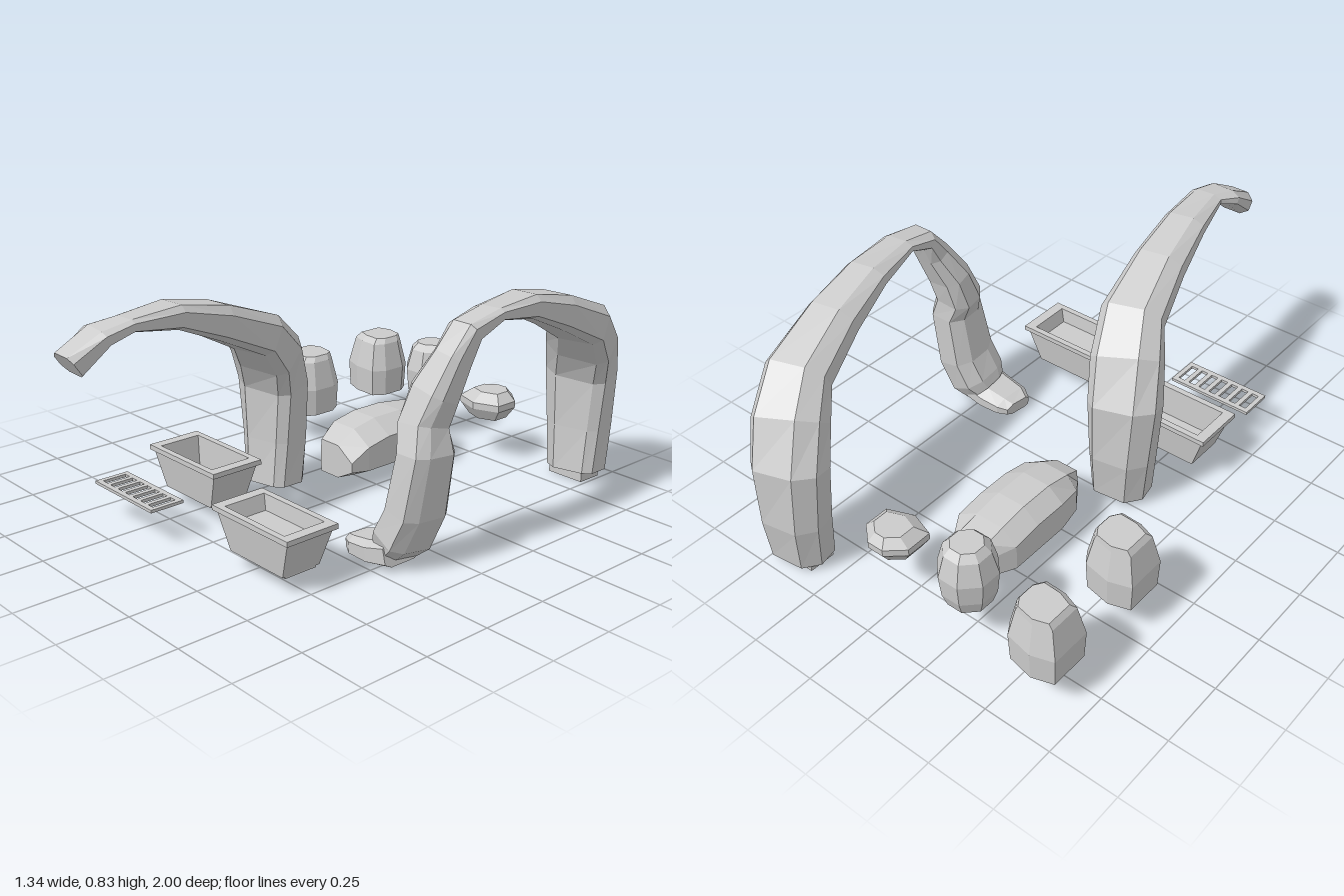
import * as THREE from 'three';

const V = (x, y, z) => new THREE.Vector3(x, y, z);
const material = new THREE.MeshStandardMaterial({ color: 0xcccccc, flatShading: true });

function mesh(geometry, name) {
  const m = new THREE.Mesh(geometry, material);
  m.name = name;
  return m;
}

// Skin rings that run counter-clockwise around the direction of travel, capped at both ends
function loft(rings, name) {
  const pos = [];
  const tri = (...pts) => pts.forEach((p) => pos.push(p.x, p.y, p.z));
  const n = rings[0].length;
  for (let i = 0; i < rings.length - 1; i++) {
    for (let j = 0; j < n; j++) {
      const k = (j + 1) % n, a = rings[i], b = rings[i + 1];
      tri(a[j], a[k], b[k]);
      tri(a[j], b[k], b[j]);
    }
  }
  const first = rings[0], last = rings[rings.length - 1];
  for (let j = 1; j < n - 1; j++) {
    tri(first[0], first[j + 1], first[j]);
    tri(last[0], last[j], last[j + 1]);
  }
  const g = new THREE.BufferGeometry();
  g.setAttribute('position', new THREE.Float32BufferAttribute(pos, 3));
  g.computeVertexNormals();
  return mesh(g, name);
}

// Faceted limb along stations [x, y, z, half width, half thickness, twist towards z]
const SECTION = [[1, 0.5], [0.7, 1], [-0.5, 1], [-1, 0.4], [-1, -0.5], [-0.5, -1], [0.7, -1], [1, -0.7]];
function limb(stations, side, name) {
  const c = stations.map(([x, y, z]) => V(x, y, z));
  const rings = stations.map(([, , , w, t, twist = 0], i) => {
    const T = c[Math.min(i + 1, c.length - 1)].clone().sub(c[Math.max(i - 1, 0)]).normalize();
    const S = side.clone().add(V(0, 0, twist));
    S.addScaledVector(T, -S.dot(T)).normalize();
    const N = T.clone().cross(S);
    return SECTION.map(([u, v]) => c[i].clone().addScaledVector(S, u * w).addScaledVector(N, v * t));
  });
  return loft(rings, name);
}

// Rock with a given outline; levels are [y, scale, z shift]
function rock(x, z, outline, levels, name) {
  return loft(levels.map(([y, s, dz = 0]) =>
    outline.map(([u, v]) => V(x + u * s, y, z + v * s + dz)).reverse()), name);
}

// Open tapered tray with a projecting rim
function tray(x, z, floorY, name) {
  const levels = [
    [0.13, 0.075, 0.055], [0.175, 0.092, 0.187], [0.187, 0.103, 0.187],
    [0.187, 0.103, 0.205], [0.148, 0.08, 0.205], [0.135, 0.075, floorY],
  ];
  return loft(levels.map(([w, d, y]) =>
    [V(x + w, y, z + d), V(x + w, y, z - d), V(x - w, y, z - d), V(x - w, y, z + d)]), name);
}

// Flat ladder: two rails and evenly spaced rungs
function ladder(x, y, z, length, width, name) {
  const g = new THREE.Group();
  const bar = (w, d, px, pz, part) => {
    const b = mesh(new THREE.BoxGeometry(w, 0.011, d), part);
    b.position.set(px, 0, pz);
    g.add(b);
  };
  for (const s of [-1, 1]) bar(length, 0.02, 0, s * (width / 2 - 0.01), 'rail');
  const count = 8, step = (length - 0.018) / (count - 1);
  for (let i = 0; i < count; i++) bar(0.018, width - 0.04, (i - (count - 1) / 2) * step, 0, 'rung');
  g.position.set(x, y, z);
  g.name = name;
  return g;
}

export function createModel() {
  const model = new THREE.Group();
  model.name = 'rockArchScene';
  const X = V(1, 0, 0), Z = V(0, 0, 1);

  // Thick, twisted rear leg curving up into a narrowing span, shared by both arches
  const span = [
    [0.415, 0.03, -0.885, 0.1, 0.08, -0.15],
    [0.405, 0.2, -0.9, 0.11, 0.087, -0.2],
    [0.405, 0.41, -0.895, 0.122, 0.088, -0.25],
    [0.445, 0.54, -0.835, 0.12, 0.088, -0.3],
    [0.5, 0.64, -0.735, 0.108, 0.073, -0.25],
    [0.54, 0.73, -0.53, 0.09, 0.06, -0.1],
    [0.57, 0.79, -0.34, 0.075, 0.04],
    [0.605, 0.803, -0.15, 0.06, 0.02],
  ];

  // Complete arch with a slender front leg and a sideways foot
  const arch = new THREE.Group();
  arch.name = 'completeArch';
  arch.add(limb([...span,
    [0.61, 0.77, -0.035, 0.06, 0.035],
    [0.605, 0.69, 0.015, 0.06, 0.048],
    [0.58, 0.58, 0.068, 0.077, 0.06],
    [0.565, 0.48, 0.1, 0.073, 0.07],
    [0.595, 0.4, 0.115, 0.07, 0.087],
    [0.57, 0.2, 0.128, 0.073, 0.098],
    [0.53, 0.1, 0.143, 0.075, 0.097],
    [0.5, 0.06, 0.15, 0.06, 0.075],
  ], X, 'archSpan'));
  arch.add(limb([
    [0.55, 0.065, 0.155, 0.085, 0.045],
    [0.46, 0.042, 0.155, 0.085, 0.04],
    [0.38, 0.035, 0.155, 0.078, 0.033],
    [0.34, 0.03, 0.15, 0.055, 0.025],
  ], Z, 'archFoot'));
  const base = mesh(new THREE.BoxGeometry(0.15, 0.05, 0.1), 'archBase');
  base.position.set(0.41, 0.025, -0.88);
  arch.add(base);
  model.add(arch);

  // Broken arch ending in a drooping tip
  model.add(limb([
    ...span.map(([x, y, z, ...rest]) => [x - 0.65, y, z + 0.93, ...rest]),
    [-0.06, 0.782, 0.865, 0.073, 0.026],
    [-0.062, 0.708, 0.973, 0.06, 0.042],
  ], X, 'brokenArch'));

  // Long low boulder: [z, left x, right x, bottom y, top y]
  const boulder = [
    [-0.655, -0.18, -0.06, 0.045, 0.175],
    [-0.62, -0.2, -0.035, 0.03, 0.2],
    [-0.54, -0.24, 0.012, 0.03, 0.215],
    [-0.43, -0.24, 0.012, 0.03, 0.23],
    [-0.3, -0.24, 0.012, 0.03, 0.23],
    [-0.2, -0.22, 0.012, 0.03, 0.21],
    [-0.122, -0.165, 0.005, 0.04, 0.165],
  ];
  model.add(loft(boulder.map(([z, l, r, b, t]) => {
    const tl = Math.max(l + 0.005, -0.18), tr = Math.min(r - 0.005, -0.07);
    return [V(tr, t, z), V(tl, t, z), V(l, t - 0.05, z), V(l, b + 0.04, z),
      V(tl, b, z), V(tr, b, z), V(r, b + 0.04, z), V(r, t - 0.05, z)];
  }), 'longBoulder'));

  // Barrel-shaped rocks
  const tall = [[-0.105, -0.08], [-0.026, -0.105], [0.074, -0.085], [0.105, -0.037],
    [0.105, 0.058], [0.074, 0.105], [-0.026, 0.1], [-0.105, 0.07]];
  const tallLevels = [[0.115, 0.95], [0.22, 1], [0.325, 0.77], [0.345, 0.64, -0.01]];
  model.add(rock(-0.567, -0.795, tall, tallLevels, 'rearTallRock'));
  model.add(rock(-0.567, -0.415, tall, tallLevels, 'frontTallRock'));
  const round = Array.from({ length: 8 }, (_, i) => {
    const a = (i + 0.5) * Math.PI / 4;
    return [0.103 * Math.cos(a), 0.103 * Math.sin(a)];
  });
  model.add(rock(-0.253, -0.783, round,
    [[0.15, 0.75], [0.2, 0.92], [0.28, 1], [0.36, 0.78], [0.385, 0.55]], 'roundRock'));
  const small = [[-0.095, -0.04], [-0.032, -0.095], [0.032, -0.095], [0.095, -0.04],
    [0.095, 0.053], [0, 0.09], [-0.095, 0.058]];
  model.add(rock(0.068, -0.777, small,
    [[0.165, 0.68], [0.21, 1], [0.235, 1], [0.267, 0.62, -0.012]], 'smallRock'));

  // Trays and ladders
  model.add(tray(-0.257, 0.337, 0.085, 'rearTray'));
  model.add(tray(0.312, 0.49, 0.15, 'frontTray'));
  model.add(ladder(-0.263, 0.13, 0.613, 0.335, 0.13, 'looseLadder'));
  model.add(ladder(0.312, 0.053, 0.49, 0.255, 0.125, 'trayLadder'));
  return model;
}
